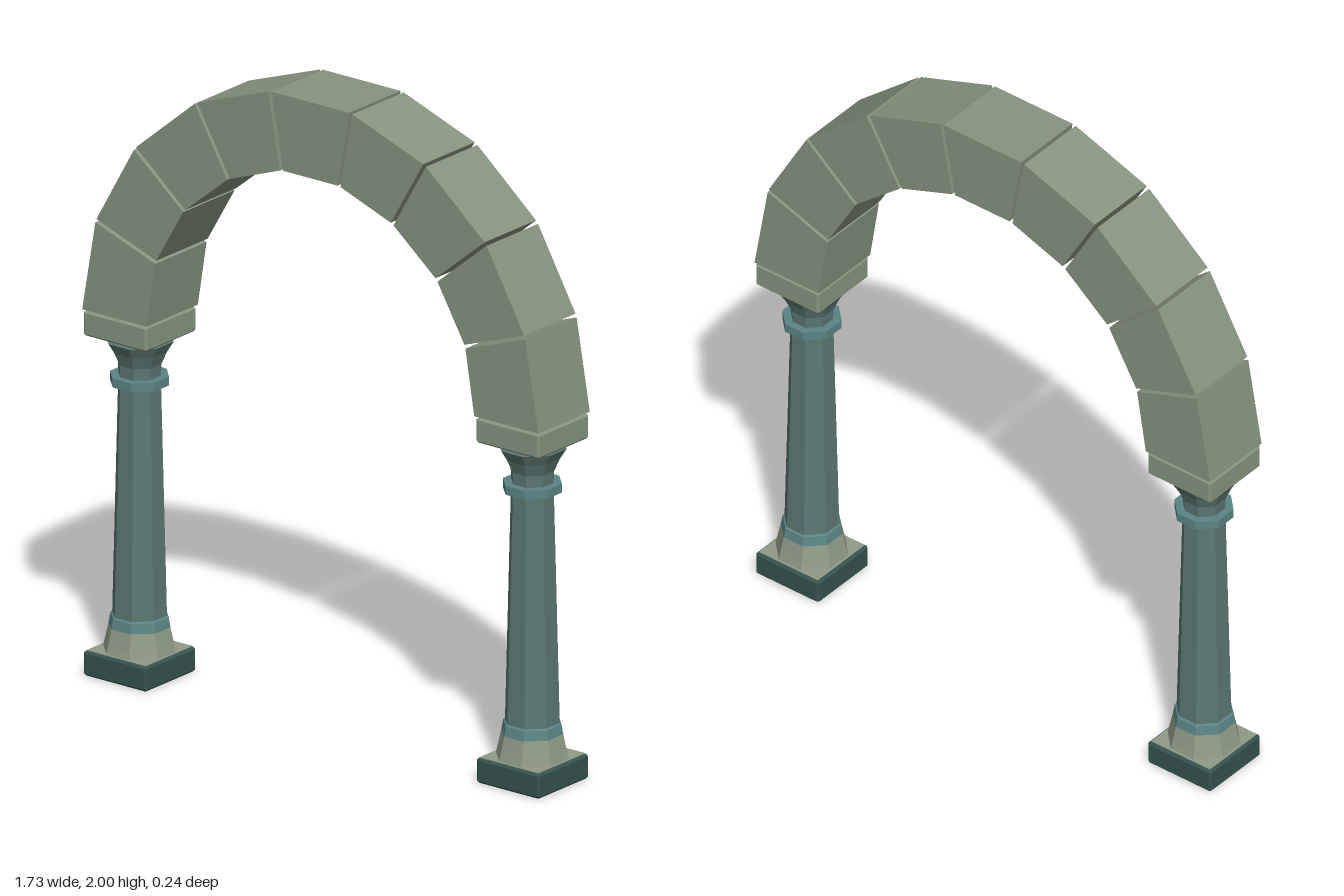
import * as THREE from 'three';

const stone = (color) => new THREE.MeshStandardMaterial({ color, flatShading: true, side: THREE.DoubleSide });
const mats = {
  block: stone(0x87947f),
  shaft: stone(0x5c7873),
  band: stone(0x5b8485),
  flare: stone(0x8f9a86),
  plinth: stone(0x36524f),
};

function add(parent, name, geometry, material) {
  const mesh = new THREE.Mesh(geometry, material);
  mesh.name = name;
  parent.add(mesh);
  return mesh;
}

// Eight-sided turned piece with flats facing the front; profile is [half width across flats, y]
function octagon(profile) {
  const k = 1 / Math.cos(Math.PI / 8);
  const pts = profile.map(([r, y]) => new THREE.Vector2(r * k, y));
  return new THREE.LatheGeometry(pts, 8, Math.PI / 8);
}

// Square slab with chamfered edges
function slab(half, y0, y1, bevel) {
  const s = half - bevel;
  const c = bevel * 0.5;
  const shape = new THREE.Shape([
    [s - c, -s], [s, c - s], [s, s - c], [s - c, s],
    [c - s, s], [-s, s - c], [-s, c - s], [c - s, -s],
  ].map(([x, y]) => new THREE.Vector2(x, y)));
  const g = new THREE.ExtrudeGeometry(shape, {
    depth: y1 - y0 - 2 * bevel, bevelEnabled: true,
    bevelSize: bevel, bevelThickness: bevel, bevelSegments: 1,
  });
  return g.rotateX(-Math.PI / 2).translate(0, y0 + bevel, 0);
}

function makeColumn(name, x) {
  const column = new THREE.Group();
  column.name = name;
  column.position.x = x;
  add(column, 'plinth', slab(0.12, 0, 0.078, 0.007), mats.plinth);
  add(column, 'plinthTop', new THREE.BoxGeometry(0.222, 0.004, 0.222).translate(0, 0.078, 0), mats.flare);
  add(column, 'baseFlare', octagon([[0.104, 0.078], [0.099, 0.1], [0.088, 0.155]]), mats.flare);
  add(column, 'baseBand', octagon([[0.088, 0.155], [0.083, 0.185], [0.078, 0.19]]), mats.band);
  add(column, 'shaft', octagon([[0.078, 0.185], [0.061, 0.92]]), mats.shaft);
  add(column, 'neckRing', octagon([[0.06, 0.915], [0.084, 0.915], [0.084, 0.943], [0.06, 0.943]]), mats.band);
  add(column, 'capital', octagon([[0.06, 0.94], [0.062, 0.98], [0.078, 1.02], [0.097, 1.054], [0, 1.054]]), mats.shaft);
  add(column, 'abacus', slab(0.12, 1.07, 1.148, 0.006), mats.block);
  return column;
}

// Joint lines of the arch from springing to crown: outer and inner points
const half = [
  [[0.863, 1.153], [0.62, 1.153]],
  [[0.812, 1.444], [0.586, 1.364]],
  [[0.664, 1.705], [0.478, 1.55]],
  [[0.433, 1.9], [0.31, 1.688]],
  [[0.153, 2.0], [0.109, 1.761]],
].map((j) => j.map(([x, y]) => new THREE.Vector2(x, y)));

// Move a point toward another by half the joint gap
const inset = (p, q, gap) => p.clone().add(q.clone().sub(p).setLength(gap));

function makeBlock(a, b, gapA, gapB) {
  const shape = new THREE.Shape([
    inset(a[0], b[0], gapA), inset(b[0], a[0], gapB),
    inset(b[1], a[1], gapB), inset(a[1], b[1], gapA),
  ]);
  return new THREE.ExtrudeGeometry(shape, { depth: 0.244, bevelEnabled: false }).translate(0, 0, -0.122);
}

export function createModel() {
  const model = new THREE.Group();
  model.name = 'archway';
  model.add(makeColumn('leftColumn', 0.743), makeColumn('rightColumn', -0.743));

  // Nine wedge blocks, mirrored about the keystone
  const arch = new THREE.Group();
  arch.name = 'arch';
  const mirrored = half.map((j) => j.map((p) => new THREE.Vector2(-p.x, p.y))).reverse();
  const joints = [...half, ...mirrored];
  const last = joints.length - 2;
  for (let i = 0; i <= last; i++) {
    const name = i === last / 2 ? 'keystone' : 'archBlock' + (i + 1);
    const gapA = i === 0 ? 0 : 0.006;
    const gapB = i === last ? 0 : 0.006;
    add(arch, name, makeBlock(joints[i], joints[i + 1], gapA, gapB), mats.block);
  }
  model.add(arch);
  return model;
}
